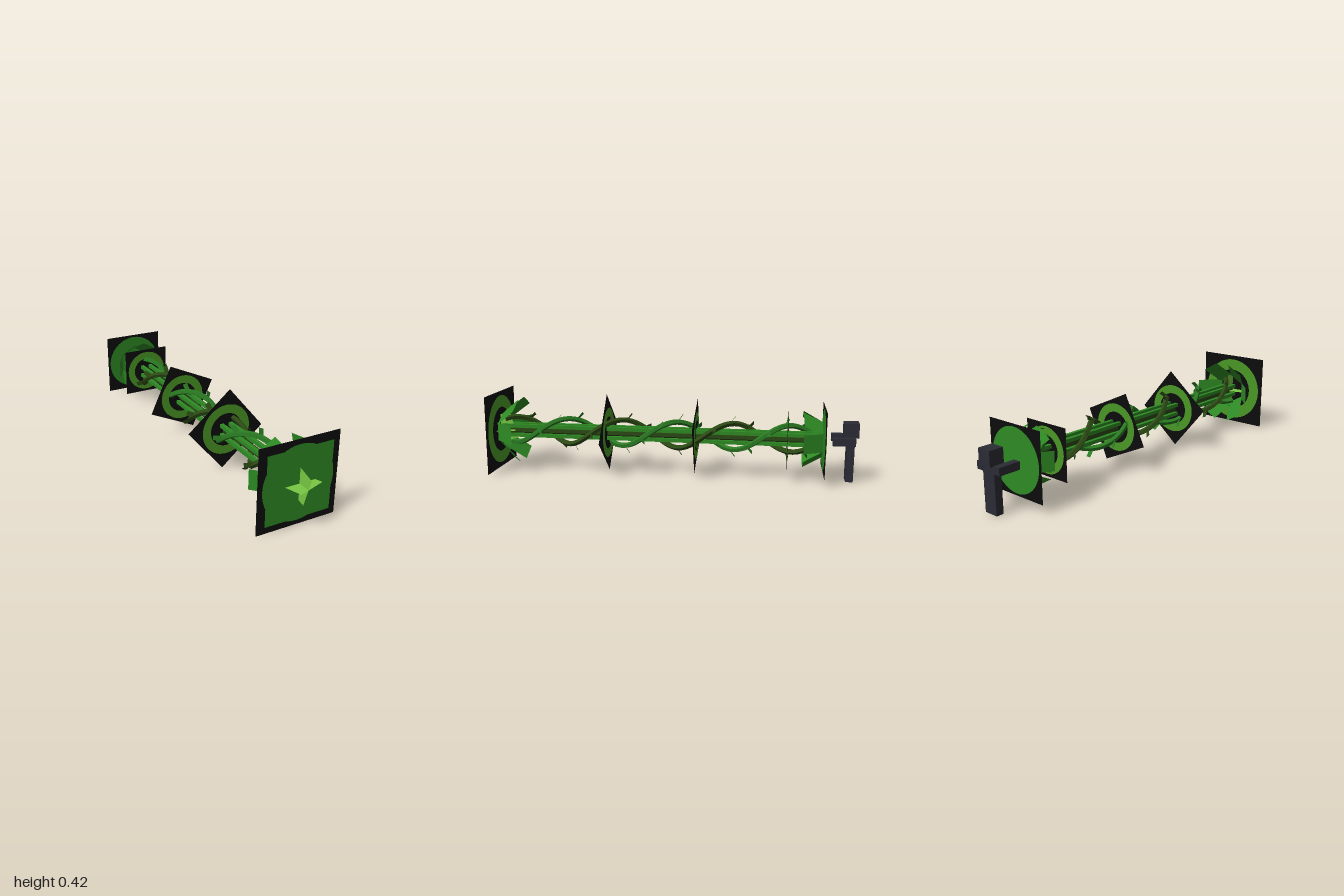
import * as THREE from 'three';

const CY = 0.214; // height of the long axis

export function createModel() {
  const model = new THREE.Group();
  model.name = 'vineStaff';

  const mat = (name, color, extra = {}) => {
    const m = new THREE.MeshStandardMaterial({ color, side: THREE.DoubleSide, ...extra });
    m.name = name;
    return m;
  };
  const black = mat('black', 0x0c0c0c);
  const green = mat('leafGreen', 0x2e8b24);
  const ringGreen = mat('ringGreen', 0x4a9826);
  const lime = mat('lime', 0x78c844);
  const vineGreen = mat('vineGreen', 0x2a7a22, { flatShading: true });
  const vineDark = mat('vineDark', 0x2c4a14, { flatShading: true });
  const charcoal = mat('charcoal', 0x2b2b35);

  const add = (name, geo, material, x = 0, y = 0, z = 0) => {
    const mesh = new THREE.Mesh(geo, material);
    mesh.name = name;
    mesh.position.set(x, y, z);
    model.add(mesh);
    return mesh;
  };

  // Flat strip between two points, its width running along the given direction
  const blade = (name, material, from, to, across, width) => {
    const along = to.clone().sub(from);
    const length = along.length();
    along.normalize();
    const normal = across.clone().cross(along).normalize();
    const mesh = add(name, new THREE.PlaneGeometry(width, length), material);
    mesh.quaternion.setFromRotationMatrix(new THREE.Matrix4().makeBasis(across, along, normal));
    mesh.position.copy(from).add(to).multiplyScalar(0.5);
  };
  const polar = (r, a, z) => new THREE.Vector3(r * Math.cos(a), CY + r * Math.sin(a), z);
  const tangent = (a) => new THREE.Vector3(-Math.sin(a), Math.cos(a), 0);

  // Square plates along the axis: z, half size, turn in degrees
  const plates = [[0.91, 0.208, 0], [0.305, 0.149, 40], [-0.17, 0.141, 65], [-0.645, 0.131, 0], [-0.83, 0.17, 0]];
  plates.forEach(([z, half, turn], i) => {
    add('plate', new THREE.PlaneGeometry(2 * half, 2 * half), black, 0, CY, z)
      .rotation.z = THREE.MathUtils.degToRad(turn);
    for (const side of [1, -1]) {
      const solid = i === 4 || (i === 0 && side === 1);
      const geo = solid
        ? new THREE.CircleGeometry(half * (i === 4 ? 0.93 : 0.89), 48)
        : new THREE.RingGeometry(half * 0.58, half * 0.89, 48);
      add(solid ? 'plateDisc' : 'plateRing', geo, solid ? green : ringGreen, 0, CY, z + side * 0.003);
    }
  });
  add('frontPanel', new THREE.PlaneGeometry(0.34, 0.34), green, 0, CY, 0.92);

  // Crossed squares at the tip
  add('tipUpright', new THREE.PlaneGeometry(0.15, 0.15), lime, 0, CY + 0.003, 0.9065)
    .rotation.set(0.31, Math.PI / 2, 0, 'XYZ');
  add('tipLevel', new THREE.PlaneGeometry(0.15, 0.15), lime, 0, CY, 0.9065)
    .rotation.set(-Math.PI / 2, 0, 0.31);

  // Straight stem: a dark core with four rods
  const core = add('stemCore', new THREE.CylinderGeometry(0.02, 0.02, 1.7, 6), vineDark, 0, CY, 0.04);
  core.rotation.x = Math.PI / 2;
  for (const sx of [-1, 1]) for (const sy of [-1, 1]) {
    add('stemRod', new THREE.BoxGeometry(0.019, 0.019, 1.7), green, sx * 0.025, CY + sy * 0.025, 0.04);
  }

  // Two vines winding round the stem, with small leaflets
  const PERIOD = 0.59;
  const angleAt = (z, phase) => Math.PI / 2 - ((z - 0.24) / PERIOD) * Math.PI * 2 + phase;
  [[vineDark, 0], [vineGreen, Math.PI]].forEach(([material, phase]) => {
    const points = [];
    for (let i = 0; i <= 66; i++) {
      const z = -0.78 + i * 0.025;
      points.push(polar(0.068, angleAt(z, phase), z));
    }
    add('vine', new THREE.TubeGeometry(new THREE.CatmullRomCurve3(points), 120, 0.015, 5), material);
    for (let i = 0; i < 17; i++) {
      const z = -0.72 + i * 0.0925;
      const a = angleAt(z, phase);
      blade('leaflet', material, polar(0.072, a, z), polar(0.107, a, z - 0.025), tangent(a), 0.026);
    }
  });

  // Six flaring petals at each end
  for (let i = 0; i < 6; i++) {
    const a = (i * Math.PI) / 3;
    blade('frontPetal', green, polar(0.07, a, 0.9), polar(0.172, a, 0.787), tangent(a), 0.1);
    blade('rearPetal', green, polar(0.08, a, -0.82), polar(0.137, a, -0.723), tangent(a), 0.096);
  }

  // Blocky holder behind the rear plate
  const block = (name, w, h, d, x, y, z) => add(name, new THREE.BoxGeometry(w, h, d), charcoal, x, y, z);
  block('holderBody', 0.076, 0.234, 0.038, 0, 0.122, -0.962);
  block('holderHead', 0.075, 0.075, 0.075, 0, 0.272, -0.9625);
  for (const s of [-1, 1]) block('holderArm', 0.038, 0.038, 0.113, s * 0.057, 0.219, -0.926);

  return model;
}
